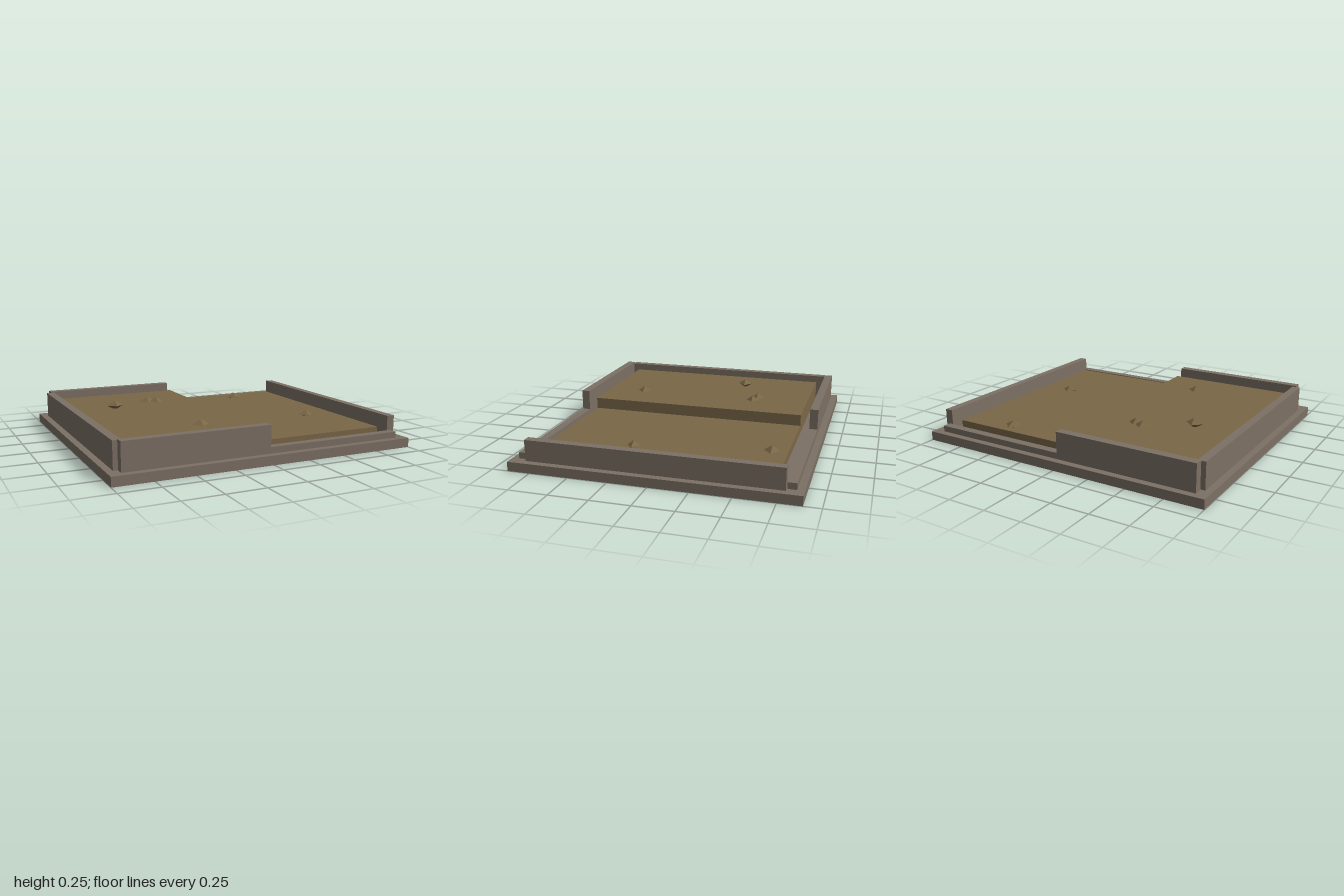
import * as THREE from 'three';

export function createModel() {
  const model = new THREE.Group();
  const stone = new THREE.MeshStandardMaterial({ color: 0x7c7064, flatShading: true });
  stone.name = 'stone';
  const soil = new THREE.MeshStandardMaterial({ color: 0x7a6747, flatShading: true });
  soil.name = 'soil';

  // Box given by its two extents on each axis
  function block(name, material, [x0, x1], [y0, y1], [z0, z1]) {
    const mesh = new THREE.Mesh(new THREE.BoxGeometry(x1 - x0, y1 - y0, z1 - z0), material);
    mesh.position.set((x0 + x1) / 2, (y0 + y1) / 2, (z0 + z1) / 2);
    mesh.name = name;
    model.add(mesh);
  }

  // Plinth
  const floor = 0.06;
  block('base', stone, [-1, 1], [0, floor], [-0.895, 0.895]);

  // Two soil levels, the right-hand half raised
  block('upperSoil', soil, [-0.87, 0], [floor, 0.19], [-0.737, 0.737]);
  block('lowerSoil', soil, [0, 0.87], [floor, 0.115], [-0.737, 0.737]);

  // Front and back walls: tall beside the upper bed, a low kerb beside the lower
  for (const [side, z] of [['front', [0.797, 0.851]], ['back', [-0.851, -0.797]]]) {
    block(side + 'TallWall', stone, [-0.928, 0], [floor, 0.236], z);
    block(side + 'LowKerb', stone, [0, 0.928], [floor, 0.1], z);
  }

  // Side walls
  block('rightWall', stone, [-0.956, -0.903], [floor, 0.23], [-0.793, 0.793]);
  block('leftWall', stone, [0.903, 0.956], [floor, 0.195], [-0.793, 0.793]);

  // Small clods: flattened octahedra half sunk in the soil [x, y, z, rx, rz]
  const clods = [
    [-0.612, 0.212, -0.228, 0.058, 0.048],
    [-0.328, 0.19, -0.38, 0.058, 0.05],
    [-0.265, 0.19, -0.355, 0.05, 0.045],
    [-0.288, 0.19, 0.472, 0.058, 0.05],
    [0.508, 0.116, -0.637, 0.062, 0.055],
    [0.654, 0.116, 0.205, 0.056, 0.043],
  ];
  for (const [x, y, z, rx, rz] of clods) {
    const clod = new THREE.Mesh(new THREE.OctahedronGeometry(1), soil);
    clod.scale.set(rx, 0.033, rz);
    clod.position.set(x, y, z);
    clod.name = 'clod';
    model.add(clod);
  }

  return model;
}
